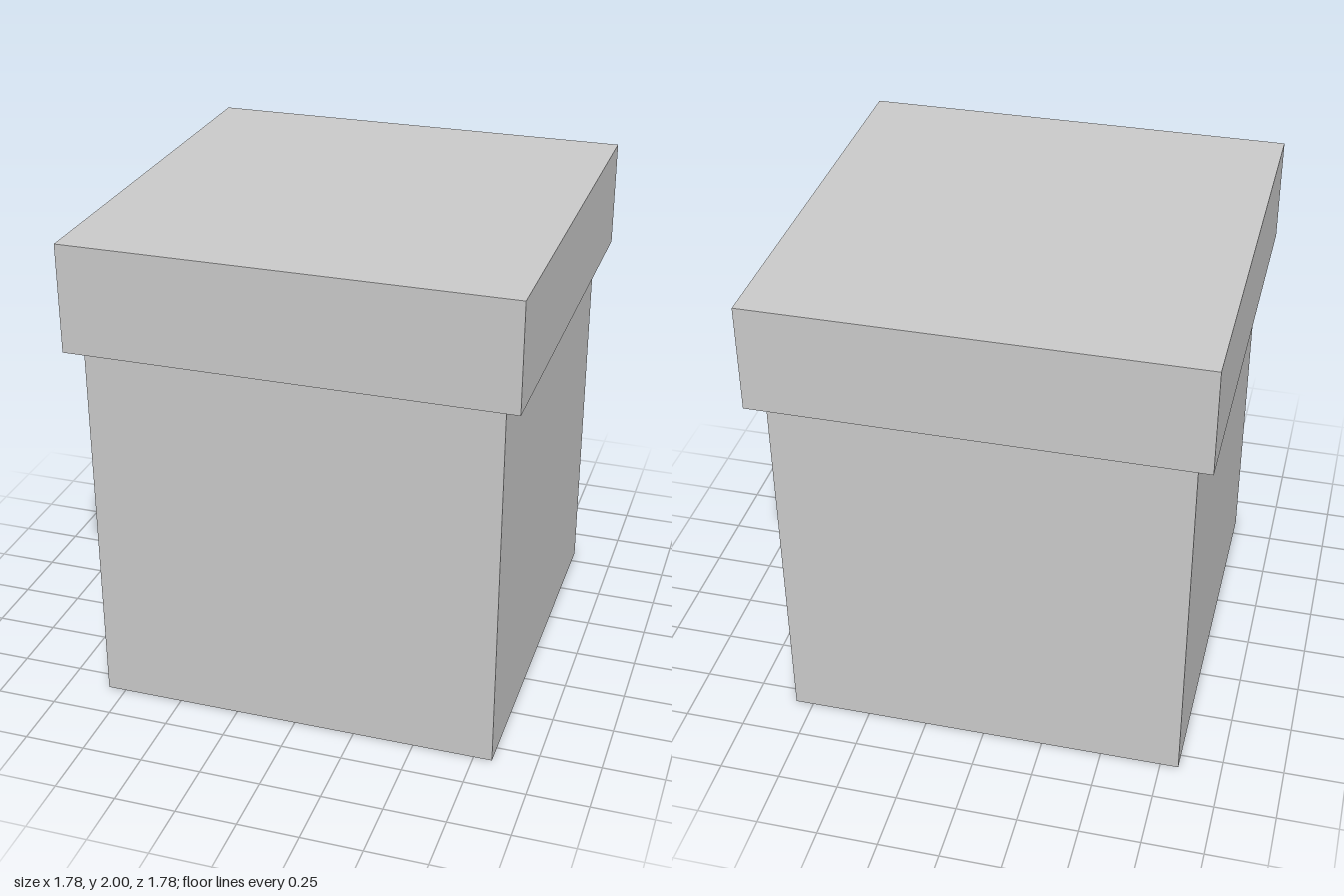
import * as THREE from 'three';

const material = new THREE.MeshStandardMaterial({ color: 0xcccccc, side: THREE.DoubleSide });

// Thin-walled box with one face left open (2 = top, 3 = bottom)
function openBox(name, width, depth, bottom, top, openFace) {
  const geometry = new THREE.BoxGeometry(width, top - bottom, depth);
  const index = Array.from(geometry.index.array);
  index.splice(openFace * 6, 6);
  geometry.setIndex(index);
  geometry.clearGroups();
  const mesh = new THREE.Mesh(geometry, material);
  mesh.name = name;
  mesh.position.y = (bottom + top) / 2;
  return mesh;
}

export function createModel() {
  const model = new THREE.Group();
  model.name = 'liddedBox';

  // Body, open at the top and reaching up inside the lid
  const body = openBox('body', 1.65, 1.655, 0, 1.98, 2);
  body.position.z = 0.008;

  // Overhanging lid, open underneath
  const lid = openBox('lid', 1.777, 1.777, 1.56, 2, 3);

  model.add(body, lid);
  return model;
}
